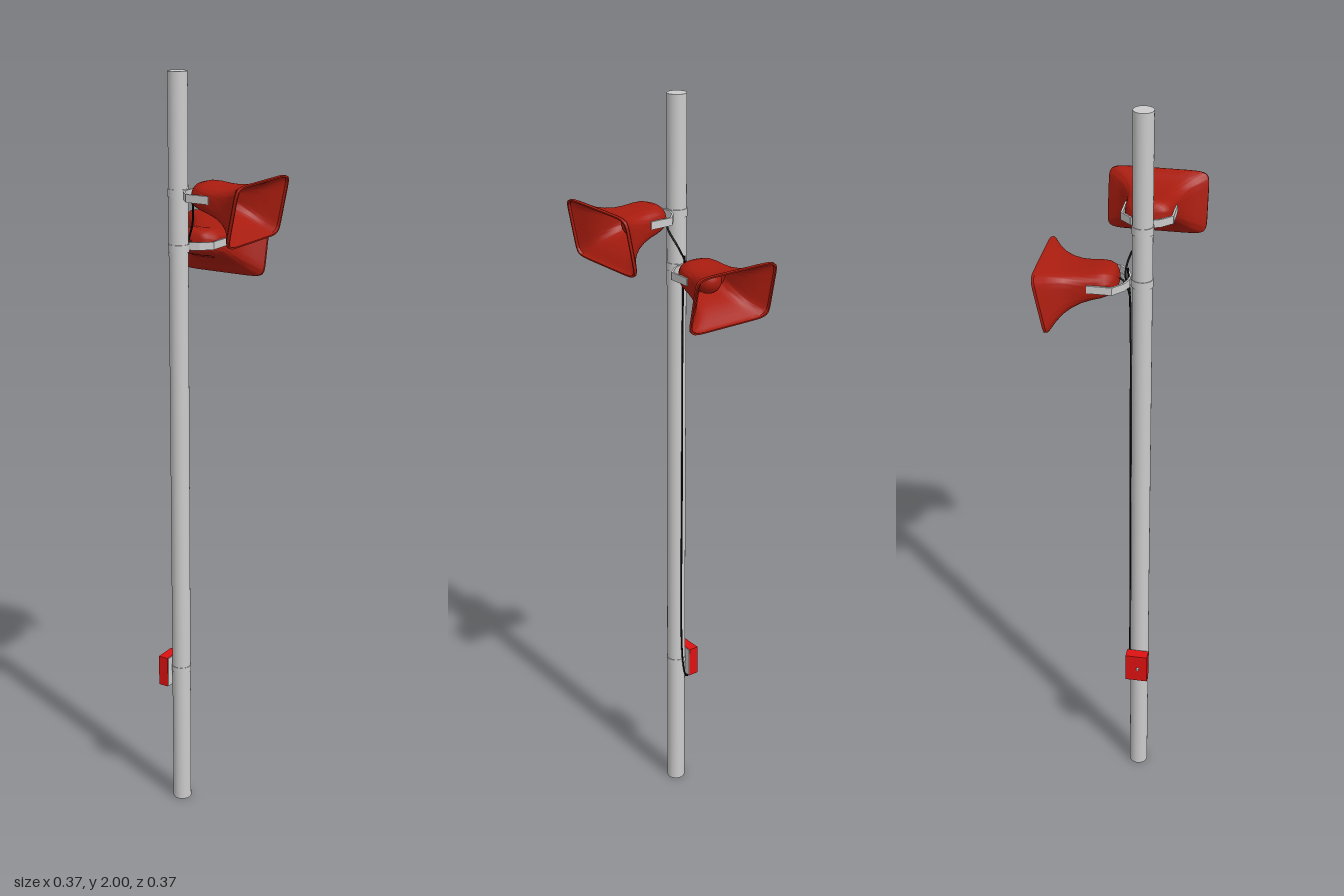
import * as THREE from 'three';
import { toCreasedNormals } from 'three/addons/utils/BufferGeometryUtils.js';

const PX = -0.064, PZ = 0.06, R = 0.025; // pole axis and radius

const mat = (color) => new THREE.MeshStandardMaterial({ color });
const grey = mat(0xcccccc), hornRed = mat(0xa81c0f), boxRed = mat(0xdd1212), black = mat(0x111111);

function add(parent, name, geometry, material, x = 0, y = 0, z = 0) {
  const mesh = new THREE.Mesh(geometry, material);
  mesh.name = name;
  mesh.position.set(x, y, z);
  parent.add(mesh);
  return mesh;
}

// Skin through rounded-rectangle sections [u, halfWidth, halfHeight, squareness] along +x
function loft(sections, n = 48) {
  const pos = [], idx = [];
  const pw = (v, e) => Math.sign(v) * Math.pow(Math.abs(v), 2 / e);
  sections.forEach(([u, w, h, e], i) => {
    for (let j = 0; j < n; j++) {
      const a = ((j + 0.5) / n) * Math.PI * 2;
      pos.push(u, h * pw(Math.sin(a), e), w * pw(Math.cos(a), e));
      if (i === sections.length - 1) continue;
      const k = (j + 1) % n, p = i * n, q = p + n;
      idx.push(p + j, q + j, p + k, q + j, q + k, p + k);
    }
  });
  const g = new THREE.BufferGeometry();
  g.setAttribute('position', new THREE.Float32BufferAttribute(pos, 3));
  g.setIndex(idx);
  return toCreasedNormals(g, 0.7);
}

function hornGeometry() {
  const outer = [
    [0, 0.001, 0.001, 2.5], [0, 0.03, 0.017, 2.5], [0.005, 0.043, 0.026, 2.6], [0.02, 0.055, 0.033, 2.8],
    [0.04, 0.06, 0.036, 3], [0.065, 0.062, 0.037, 3.4], [0.09, 0.065, 0.040, 4],
    [0.115, 0.073, 0.046, 5], [0.135, 0.085, 0.054, 6], [0.152, 0.102, 0.065, 7],
    [0.164, 0.12, 0.075, 8], [0.169, 0.125, 0.078, 9], [0.176, 0.125, 0.078, 9],
  ];
  // inner wall returns from the lip to a closed floor
  const inner = outer.slice(5).reverse().map(([u, w, h, e]) => [u, w - 0.004, h - 0.004, e]);
  return loft([...outer, ...inner, [0.065, 0.001, 0.001, 3.4]]);
}

// Horn with yoke and clamp, pointing along +x from the pole axis
function speaker(name, y, turn) {
  const g = new THREE.Group();
  g.name = name;
  g.position.set(PX, y, PZ);
  g.rotation.y = turn;

  const horn = new THREE.Group();
  horn.name = 'horn';
  horn.position.set(0.06, 0.008, 0);
  horn.rotation.z = -0.2;
  add(horn, 'hornShell', hornGeometry(), hornRed);
  add(horn, 'hornDriver', new THREE.SphereGeometry(0.033, 28, 18), hornRed, 0.072, 0, 0);
  g.add(horn);

  // bent flat strip of the yoke
  const half = [[0.124, 0.062], [0.064, 0.062], [0.04, 0.036], [0.031, 0.014]];
  const path = [...half, ...half.map(([x, z]) => [x, -z]).reverse()];
  for (let i = 0; i < path.length - 1; i++) {
    const [x0, z0] = path[i], [x1, z1] = path[i + 1];
    const len = Math.hypot(x1 - x0, z1 - z0);
    const strip = add(g, 'yokeStrip', new THREE.BoxGeometry(len + 0.003, 0.02, 0.005), grey,
      (x0 + x1) / 2, 0, (z0 + z1) / 2);
    strip.rotation.y = -Math.atan2(z1 - z0, x1 - x0);
  }
  // pivot bolts
  for (const s of [-1, 1]) {
    const bolt = add(g, 'yokeBolt', new THREE.CylinderGeometry(0.005, 0.005, 0.008, 12), grey, 0.115, 0, s * 0.06);
    bolt.rotation.x = Math.PI / 2;
  }
  add(g, 'poleClamp', new THREE.CylinderGeometry(R + 0.002, R + 0.002, 0.02, 32), grey);
  return g;
}

function cable(parent, name, points) {
  const curve = new THREE.CatmullRomCurve3(points.map((p) => new THREE.Vector3(...p)), false, 'centripetal');
  add(parent, name, new THREE.TubeGeometry(curve, 60, 0.0025, 6), black);
}

export function createModel() {
  const model = new THREE.Group();
  model.name = 'hornSpeakerPole';

  // pole
  add(model, 'pole', new THREE.CylinderGeometry(R, R, 2, 40), grey, PX, 1, PZ);

  // two horns at right angles
  model.add(speaker('upperSpeaker', 1.705, 0));
  model.add(speaker('lowerSpeaker', 1.566, Math.PI / 2));

  // control box with back plate, strap and knob
  const box = new THREE.Group();
  box.name = 'controlBox';
  box.position.set(PX, 0.388, PZ);
  add(box, 'boxBody', new THREE.BoxGeometry(0.028, 0.085, 0.06), boxRed, -0.04, 0, 0);
  add(box, 'boxBackPlate', new THREE.BoxGeometry(0.003, 0.083, 0.058), grey, -0.0253, 0, 0);
  add(box, 'boxStrap', new THREE.CylinderGeometry(R + 0.0015, R + 0.0015, 0.016, 32), grey, 0, 0.012, 0);
  const knob = add(box, 'boxKnob', new THREE.CylinderGeometry(0.004, 0.004, 0.008, 14), grey, -0.056, 0, 0.004);
  knob.rotation.z = Math.PI / 2;
  model.add(box);

  // cables from the horns, down the back of the pole to the box
  cable(model, 'upperCable', [[0, 1.712, 0.06], [-0.02, 1.7, 0.06], [-0.03, 1.66, 0.045],
    [-0.045, 1.62, 0.025], [-0.06, 1.58, 0.018], [-0.062, 1.53, 0.03]]);
  cable(model, 'lowerCable', [[-0.062, 1.572, 0.004], [-0.062, 1.56, 0.016], [-0.062, 1.53, 0.028], [-0.062, 1.48, 0.031]]);
  cable(model, 'downCable', [[-0.062, 1.6, 0.024], [-0.062, 1.5, 0.03], [-0.062, 1, 0.032], [-0.064, 0.45, 0.033],
    [-0.072, 0.37, 0.033], [-0.088, 0.337, 0.042], [-0.1, 0.334, 0.052], [-0.104, 0.35, 0.06]]);

  return model;
}
